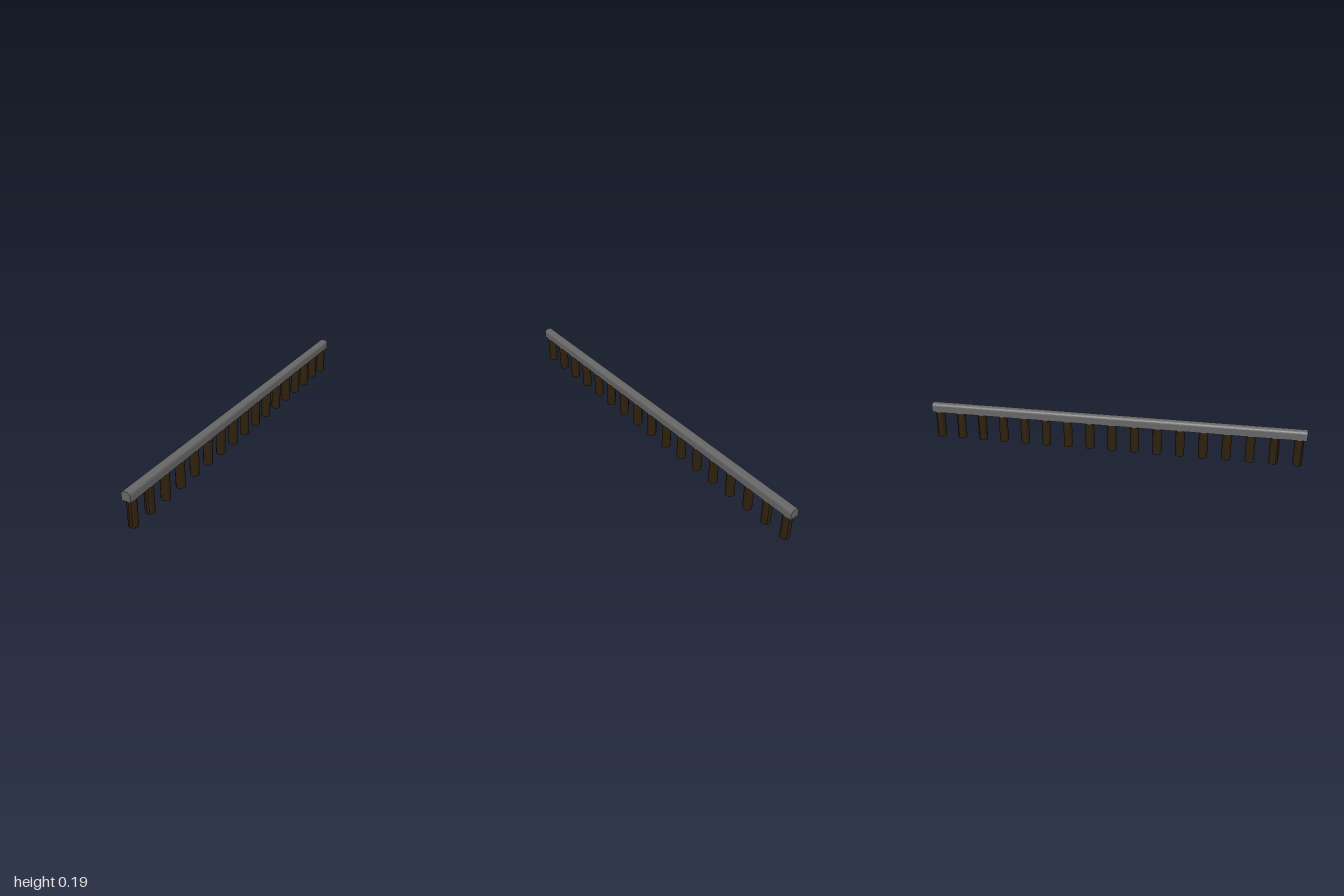
import * as THREE from 'three';

const HALF_WIDTH = 0.024, RAIL_BOTTOM = 0.144, RAIL_TOP = 0.193, LENGTH = 2;
const POSTS = 17, FIRST_POST = 0.964;

// Handrail: flat underside, rounded upper corners
function makeRail() {
  const r = 0.016, w = HALF_WIDTH;
  const shape = new THREE.Shape();
  shape.moveTo(-w, RAIL_BOTTOM);
  shape.lineTo(w, RAIL_BOTTOM);
  shape.lineTo(w, RAIL_TOP - r);
  shape.absarc(w - r, RAIL_TOP - r, r, 0, Math.PI / 2, false);
  shape.lineTo(-w + r, RAIL_TOP);
  shape.absarc(-w + r, RAIL_TOP - r, r, Math.PI / 2, Math.PI, false);
  shape.closePath();
  const geometry = new THREE.ExtrudeGeometry(shape, { depth: LENGTH, bevelEnabled: false, curveSegments: 3 });
  geometry.translate(0, 0, -LENGTH / 2);
  const rail = new THREE.Mesh(geometry, new THREE.MeshStandardMaterial({ color: 0x666666, flatShading: true }));
  rail.name = 'rail';
  return rail;
}

// Evenly spaced round wooden posts
function makePosts() {
  const posts = new THREE.Group();
  posts.name = 'posts';
  const geometry = new THREE.CylinderGeometry(HALF_WIDTH, HALF_WIDTH, RAIL_BOTTOM, 12);
  const wood = new THREE.MeshStandardMaterial({ color: 0x2e200d, flatShading: true });
  for (let i = 0; i < POSTS; i++) {
    const post = new THREE.Mesh(geometry, wood);
    post.name = 'post' + (i + 1);
    post.position.set(0, RAIL_BOTTOM / 2, FIRST_POST * (1 - (2 * i) / (POSTS - 1)));
    posts.add(post);
  }
  return posts;
}

export function createModel() {
  const model = new THREE.Group();
  model.name = 'railing';
  model.add(makeRail(), makePosts());
  return model;
}
